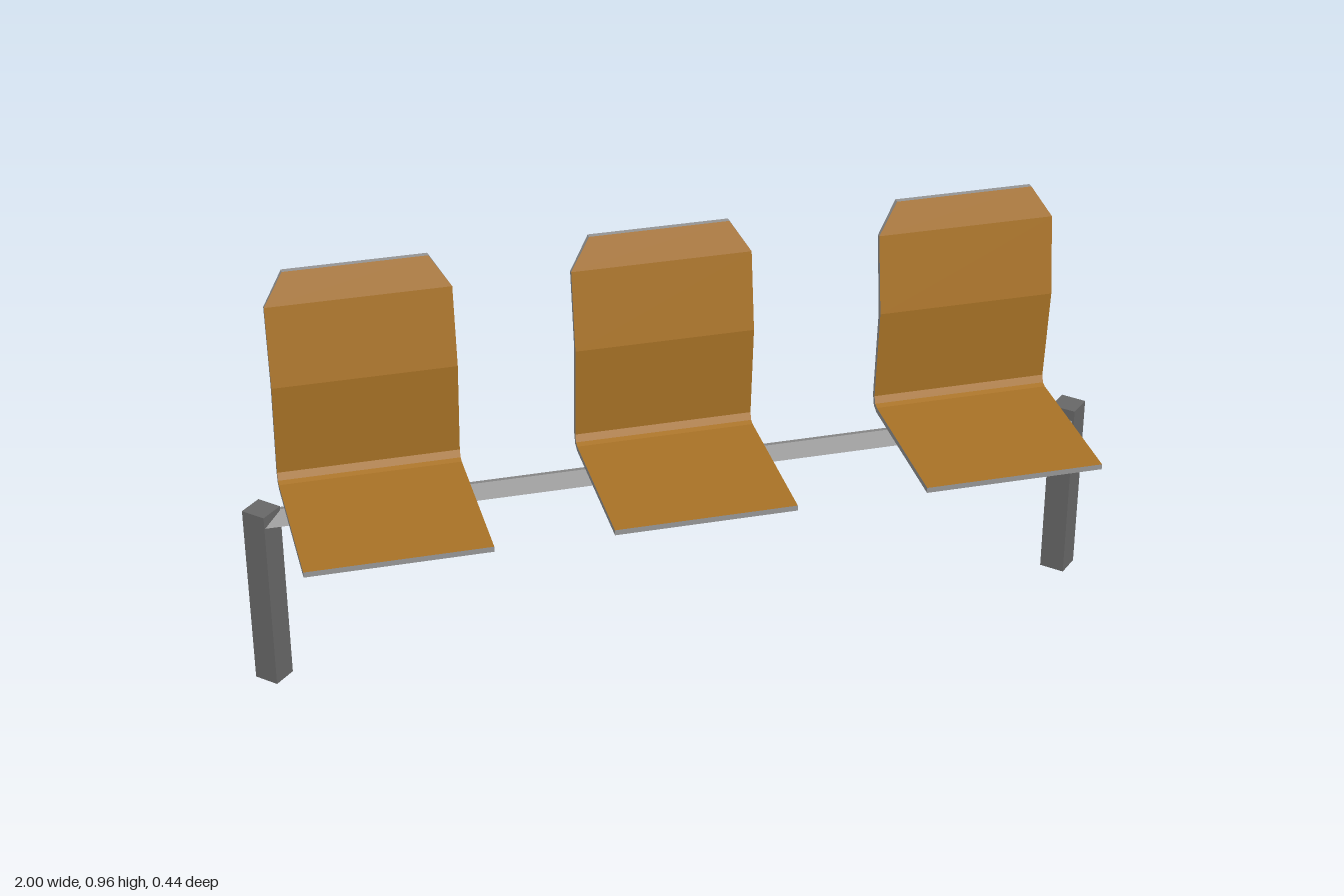
import * as THREE from 'three';

const wood = new THREE.MeshStandardMaterial({ name: 'warm wood', color: 0xa87226 });
const steel = new THREE.MeshStandardMaterial({ name: 'light grey', color: 0x949494 });
const dark = new THREE.MeshStandardMaterial({ name: 'dark grey', color: 0x676767 });
steel.flatShading = dark.flatShading = wood.flatShading = true;

// Shell stations: front z, y, then rear z, y, then half width
const STATIONS = [
  [0.22, 0.45, 0.22, 0.437, 0.21],
  [-0.157, 0.45, -0.16, 0.437, 0.21],
  [-0.17, 0.454, -0.18, 0.445, 0.21],
  [-0.177, 0.471, -0.189, 0.47, 0.21],
  [-0.156, 0.7, -0.169, 0.7, 0.21],
  [-0.184, 0.888, -0.196, 0.885, 0.21],
  [-0.206, 0.96, -0.219, 0.96, 0.163],
];

// Bent seat shell: wooden face, grey underside and rim
function shellGeometry() {
  const face = [], body = [];
  const quad = (out, a, b, c, d) => out.push(...a, ...b, ...c, ...a, ...c, ...d);
  const rings = STATIONS.map(([fz, fy, rz, ry, w]) => ({
    fl: [-w, fy, fz], fr: [w, fy, fz], rl: [-w, ry, rz], rr: [w, ry, rz],
  }));
  for (let i = 0; i < rings.length - 1; i++) {
    const a = rings[i], b = rings[i + 1];
    quad(face, a.fl, a.fr, b.fr, b.fl);
    quad(body, a.rr, a.rl, b.rl, b.rr);
    quad(body, a.fr, a.rr, b.rr, b.fr);
    quad(body, a.rl, a.fl, b.fl, b.rl);
  }
  const s = rings[0], e = rings[rings.length - 1];
  quad(body, s.rl, s.rr, s.fr, s.fl);
  quad(body, e.fl, e.fr, e.rr, e.rl);
  const g = new THREE.BufferGeometry();
  g.setAttribute('position', new THREE.Float32BufferAttribute([...face, ...body], 3));
  g.addGroup(0, face.length / 3, 0);
  g.addGroup(face.length / 3, body.length / 3, 1);
  g.computeVertexNormals();
  return g;
}

export function createModel() {
  const model = new THREE.Group();
  model.name = 'bench';

  // Three matching seats
  const shell = shellGeometry();
  [['rightSeat', -0.695], ['middleSeat', -0.004], ['leftSeat', 0.72]].forEach(([name, x]) => {
    const seat = new THREE.Mesh(shell, [wood, steel]);
    seat.name = name;
    seat.position.x = x;
    model.add(seat);
  });

  // Square posts turned corner-forward
  const postGeo = new THREE.CylinderGeometry(0.0425, 0.0425, 0.447, 4);
  for (const side of [-1, 1]) {
    const post = new THREE.Mesh(postGeo, dark);
    post.name = side > 0 ? 'leftPost' : 'rightPost';
    post.position.set(side * 0.9575, 0.2235, -0.071);
    model.add(post);
  }

  // Flattened diamond cross bar
  const barGeo = new THREE.CylinderGeometry(1, 1, 1.915, 4);
  barGeo.rotateZ(Math.PI / 2);
  barGeo.scale(1, 0.02, 0.0425);
  const bar = new THREE.Mesh(barGeo, steel);
  bar.name = 'crossBar';
  bar.position.set(0, 0.418, -0.073);
  model.add(bar);

  return model;
}
